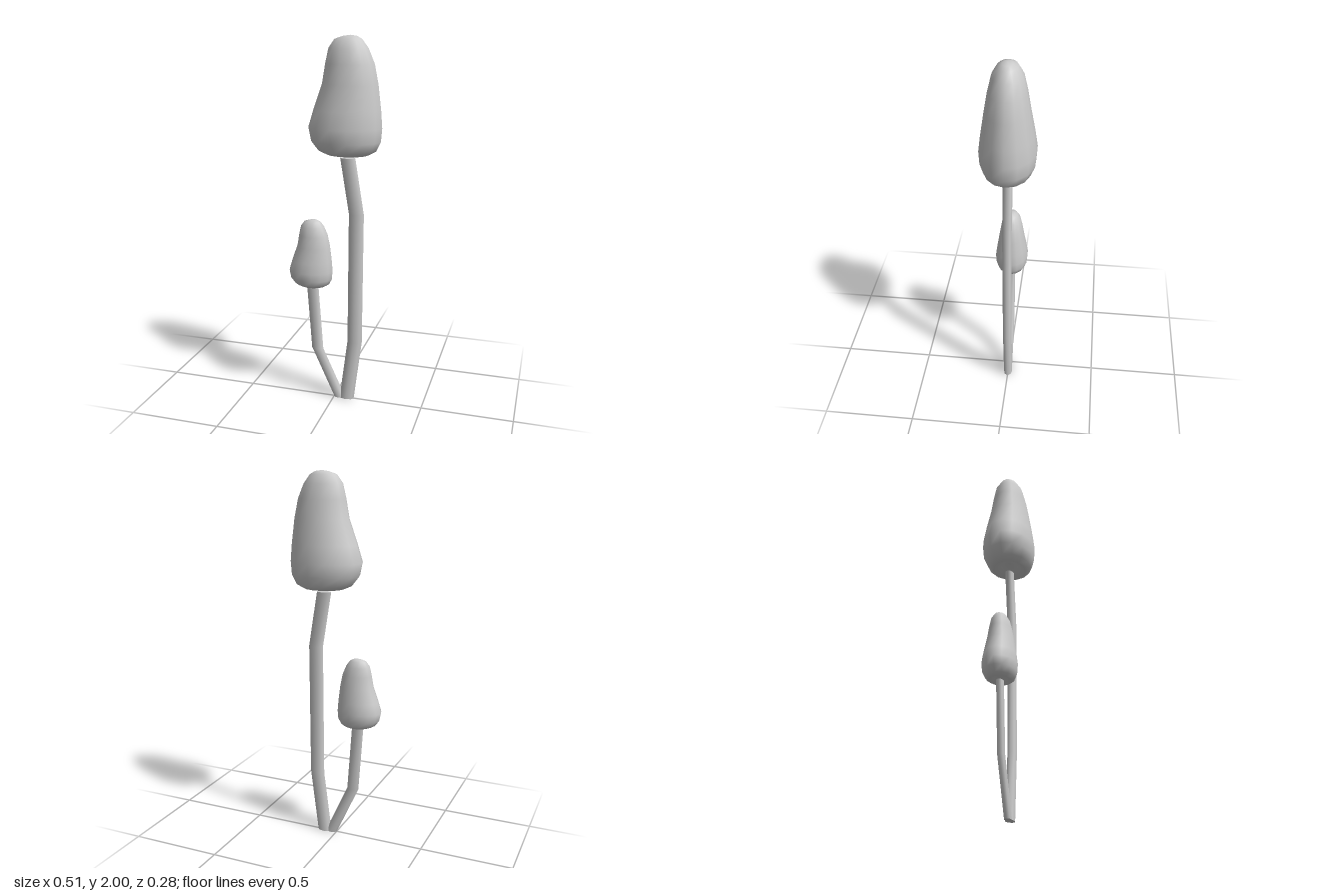
import * as THREE from 'three';

const material = new THREE.MeshStandardMaterial({ color: 0xcccccc });

// Smooth skin over horizontal elliptical rings [y, xMin, xMax, zHalf], listed
// from the lower end to the upper end and closed by a centre point at each end.
function loft(name, rings, sides, startY, endY) {
  const positions = [], index = [];
  for (const [y, x0, x1, rz] of rings) {
    for (let j = 0; j < sides; j++) {
      const a = (j / sides) * Math.PI * 2;
      positions.push((x0 + x1) / 2 + ((x1 - x0) / 2) * Math.cos(a), y, rz * Math.sin(a));
    }
  }
  const last = rings.length - 1;
  const start = rings.length * sides, end = start + 1;
  positions.push((rings[0][1] + rings[0][2]) / 2, startY, 0);
  positions.push((rings[last][1] + rings[last][2]) / 2, endY, 0);
  for (let j = 0; j < sides; j++) {
    const k = (j + 1) % sides;
    for (let i = 0; i < last; i++) {
      const a = i * sides + j, b = i * sides + k;
      index.push(a, a + sides, b, b, a + sides, b + sides);
    }
    index.push(start, j, k, end, last * sides + k, last * sides + j);
  }
  const geometry = new THREE.BufferGeometry();
  geometry.setAttribute('position', new THREE.Float32BufferAttribute(positions, 3));
  geometry.setIndex(index);
  geometry.computeVertexNormals();
  const mesh = new THREE.Mesh(geometry, material);
  mesh.name = name;
  return mesh;
}

// Lopsided bell cap with a hollowed underside
function makeCap(name) {
  const rings = [
    [1.425, 0.01, 0.135, 0.045],
    [1.40, -0.04, 0.185, 0.09],
    [1.42, -0.085, 0.222, 0.118],
    [1.47, -0.125, 0.247, 0.14],
    [1.54, -0.14, 0.253, 0.145],
    [1.63, -0.112, 0.246, 0.133],
    [1.76, -0.066, 0.23, 0.112],
    [1.86, -0.049, 0.21, 0.095],
    [1.935, -0.032, 0.178, 0.077],
    [1.98, 0.0, 0.145, 0.05],
    [1.995, 0.045, 0.118, 0.025],
  ];
  return loft(name, rings, 14, 1.45, 2.0);
}

// Bent stem through [x, y] points; end rings are doubled to keep flat ends crisp
function makeStem(name, path, rx, rz) {
  const rings = path.map(([x, y]) => [y, x - rx, x + rx, rz]);
  rings.unshift(rings[0]);
  rings.push(rings[rings.length - 1]);
  return loft(name, rings, 8, path[0][1], path[path.length - 1][1]);
}

export function createModel() {
  const model = new THREE.Group();
  model.name = 'mushroomPair';

  // Tall mushroom
  const tall = new THREE.Group();
  tall.name = 'tallMushroom';
  tall.add(
    makeCap('tallCap'),
    makeStem('tallStem', [[0.073, 0], [0.117, 0.35], [0.121, 1.08], [0.072, 1.38]], 0.041, 0.025),
  );

  // Small mushroom, sharing the cap shape at a smaller size
  const small = new THREE.Group();
  small.name = 'smallMushroom';
  const smallCap = makeCap('smallCap');
  smallCap.scale.setScalar(0.625);
  smallCap.position.set(-0.169, -0.215, 0);
  small.add(
    smallCap,
    makeStem('smallStem', [[0.032, 0], [-0.098, 0.285], [-0.125, 0.66]], 0.033, 0.02),
  );

  model.add(tall, small);
  return model;
}
